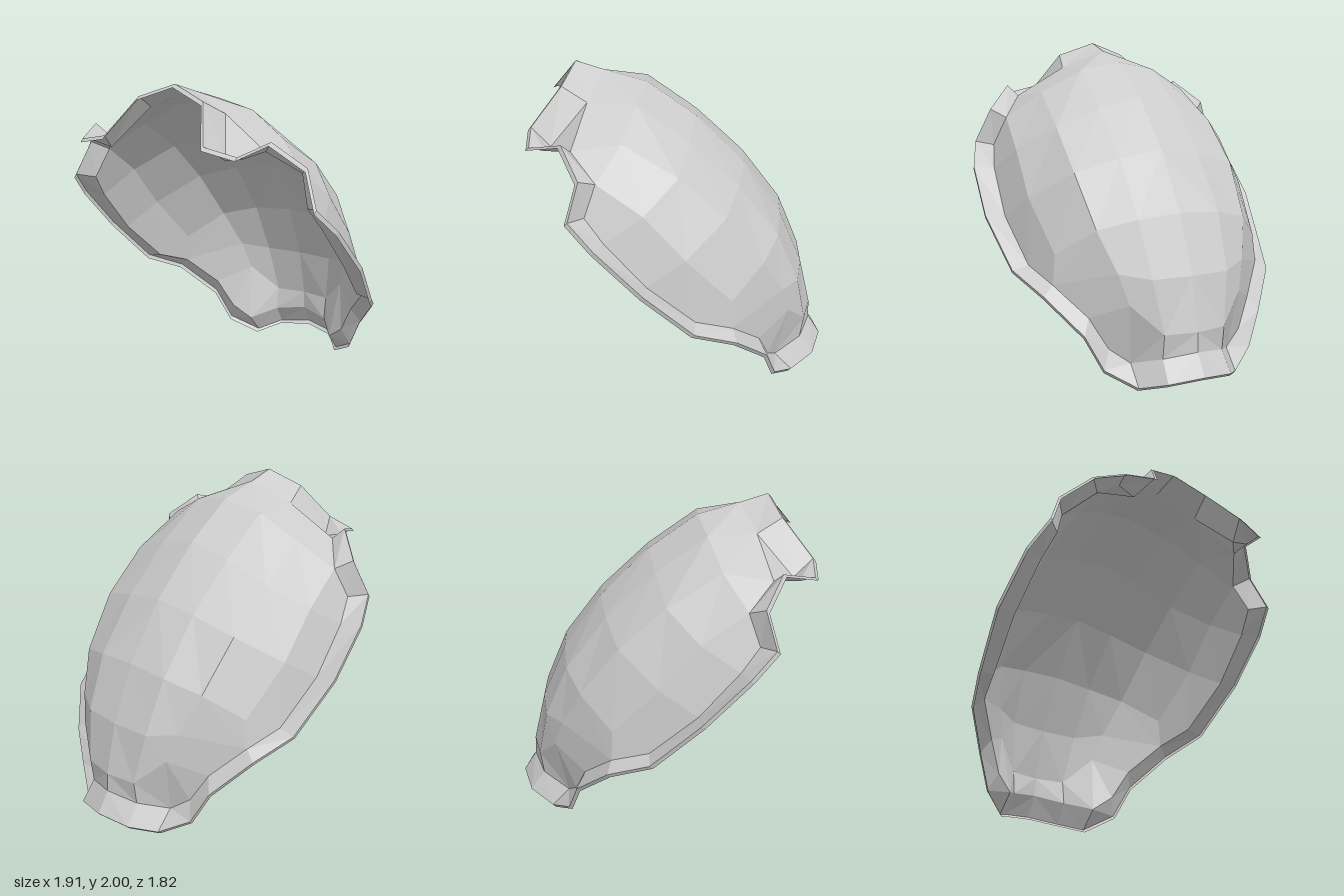
import * as THREE from 'three';

const material = new THREE.MeshStandardMaterial({ color: 0xcccccc, flatShading: true, side: THREE.DoubleSide });

// Collects triangles on the left half and mirrors each one to the right
function halfSkin() {
  const pos = [];
  const same = (a, b) => a.every((v, k) => v === b[k]);
  const tri = (a, b, c) => {
    if (same(a, b) || same(b, c) || same(a, c)) return;
    pos.push(...a, ...b, ...c);
    for (const [x, y, z] of [a, c, b]) pos.push(-x, y, z);
  };
  // Quads between two lines of equal point count
  const strip = (p, q) => {
    for (let k = 0; k < p.length - 1; k++) {
      tri(p[k], p[k + 1], q[k + 1]);
      tri(p[k], q[k + 1], q[k]);
    }
  };
  const mesh = (name) => {
    const g = new THREE.BufferGeometry();
    g.setAttribute('position', new THREE.Float32BufferAttribute(pos, 3));
    g.computeVertexNormals();
    const m = new THREE.Mesh(g, material);
    m.name = name;
    return m;
  };
  return { strip, mesh };
}

// Edge of the dome, from the tail at x = 0 round the left side to the neck
const inner = [
  [0, 0.23, -0.83], [0.2, 0.2, -0.77], [0.33, 0.145, -0.61], [0.45, 0.235, -0.56],
  [0.55, 0.42, -0.5], [0.71, 0.6, -0.34], [0.78, 0.68, -0.12], [0.83, 0.94, 0.16],
  [0.815, 1.21, 0.4], [0.78, 1.35, 0.51], [0.71, 1.53, 0.45], [0.57, 1.66, 0.61],
  [0.53, 1.64, 0.77], [0.41, 1.615, 0.76], [0.27, 1.84, 0.56], [0, 1.95, 0.5],
];
// Flared outer edge, in the same order
const outer = [
  [0, 0.1, -0.91], [0.21, 0.075, -0.86], [0.33, 0.025, -0.72], [0.5, 0.125, -0.61],
  [0.6, 0.33, -0.555], [0.78, 0.545, -0.37], [0.885, 0.66, -0.125], [0.955, 0.955, 0.165],
  [0.94, 1.225, 0.435], [0.88, 1.37, 0.585], [0.79, 1.58, 0.53], [0.63, 1.725, 0.65],
  [0.55, 1.665, 0.855], [0.35, 1.705, 0.885], [0.23, 1.92, 0.715], [0, 2, 0.67],
];
// Thin lip under the outer edge
const lip = outer.map(([x, y, z]) => [x * 0.995, y - 0.02, z + 0.02]);

export function createModel() {
  const group = new THREE.Group();
  group.name = 'shell';
  const i = inner;

  // Dome: rows from neck to tail, each running from the spine to the side
  const rows = [
    [i[15], i[14], i[11], i[10], i[10]],
    [[0, 1.88, 0.24], [0.26, 1.83, 0.27], [0.51, 1.69, 0.33], i[10], i[9]],
    [[0, 1.67, -0.06], [0.27, 1.61, -0.04], [0.54, 1.5, 0], [0.74, 1.35, 0.18], i[8]],
    [[0, 1.37, -0.36], [0.27, 1.33, -0.34], [0.54, 1.25, -0.28], [0.75, 1.08, -0.06], i[7]],
    [[0, 1.02, -0.6], [0.27, 1, -0.59], [0.5, 0.94, -0.51], [0.69, 0.78, -0.33], i[6]],
    [[0, 0.67, -0.75], [0.25, 0.67, -0.73], [0.42, 0.7, -0.63], i[5], i[5]],
    [[0, 0.35, -0.825], [0.2, 0.35, -0.79], [0.37, 0.52, -0.68], i[4], i[4]],
    [i[0], i[1], i[2], i[3], i[3]],
  ];
  const dome = halfSkin();
  for (let r = 0; r < rows.length - 1; r++) dome.strip(rows[r], rows[r + 1]);
  group.add(dome.mesh('dome'));

  // Sunken panels beside the neck
  const notch = halfSkin();
  notch.strip([i[13], i[12]], [i[14], i[11]]);
  group.add(notch.mesh('shoulderPanels'));

  // Flared rim and its thin edge
  const rim = halfSkin();
  rim.strip(inner, outer);
  group.add(rim.mesh('rim'));
  const edge = halfSkin();
  edge.strip(outer, lip);
  group.add(edge.mesh('rimEdge'));

  return group;
}
